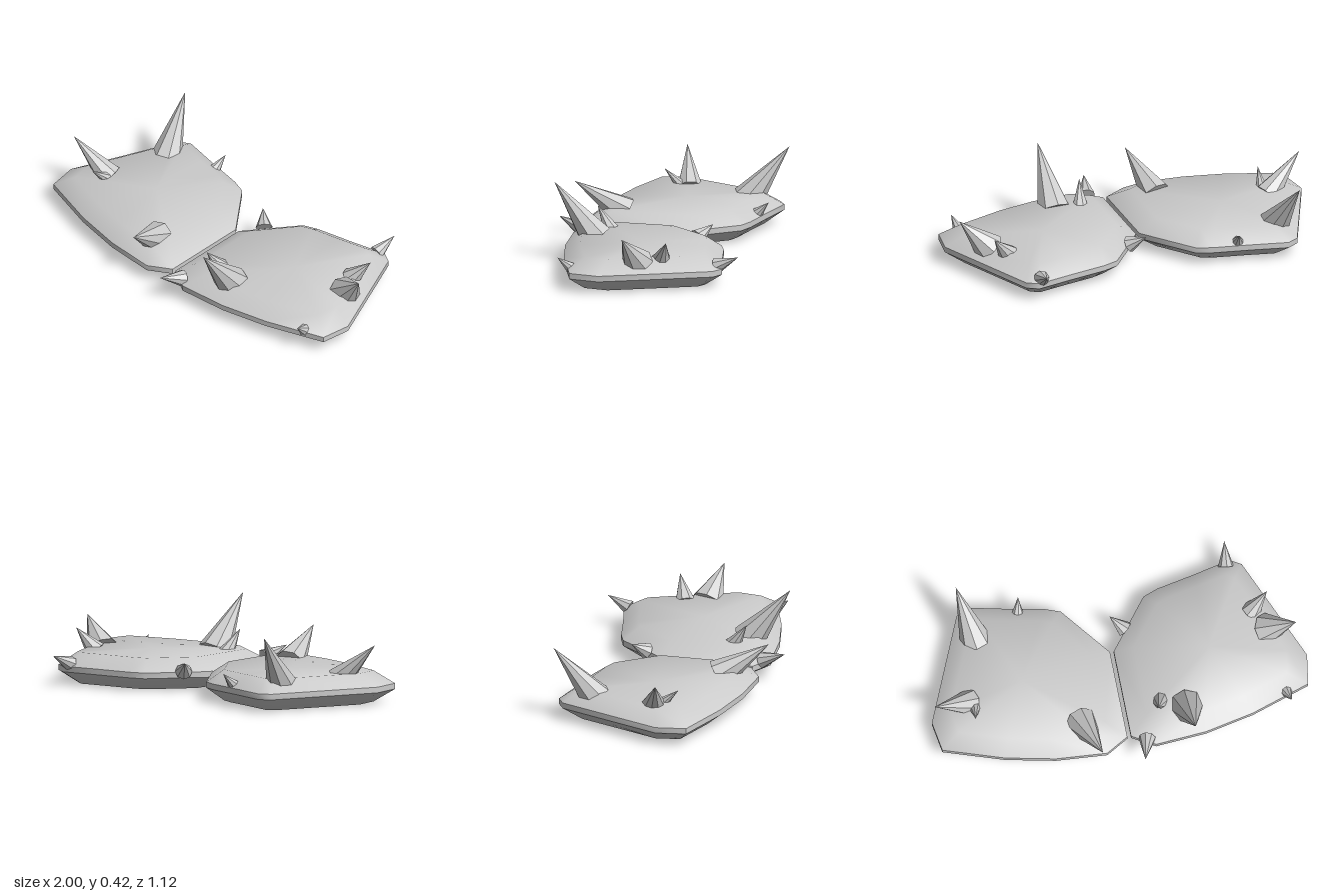
import * as THREE from 'three';
import { toCreasedNormals } from 'three/addons/utils/BufferGeometryUtils.js';

// Plan outline of one slab (x, z), running from the inner back corner round to the inner front corner
const OUTLINE = [
  [0.01, -0.09], [0.22, -0.36], [0.3, -0.39], [0.5, -0.43], [0.7, -0.475], [0.76, -0.44],
  [1.0, 0.12], [0.975, 0.28], [0.66, 0.385], [0.4, 0.44], [0.13, 0.46], [0.01, 0.39],
];

// Slab cross-sections: height and scale about the slab's middle
const RINGS = [[0, 0.79], [0.07, 1], [0.1, 1], [0.165, 0.79]];

// Spikes: tip, base centre, base radius
const LEFT_SPIKES = [
  [[0.33, 0.42, 0.515], [0.325, 0.13, 0.29], 0.09],
  [[0.17, 0.265, 0.32], [0.195, 0.14, 0.24], 0.045],
  [[0.055, 0.165, 0.555], [0.09, 0.11, 0.42], 0.045],
  [[0.87, 0.155, 0.37], [0.855, 0.1, 0.3], 0.032],
  [[0.02, 0.16, -0.265], [0.09, 0.105, -0.2], 0.045],
  [[0.69, 0.165, -0.56], [0.675, 0.11, -0.44], 0.042],
  [[0.85, 0.26, -0.21], [0.755, 0.14, -0.16], 0.055],
  [[0.965, 0.295, 0.0], [0.815, 0.135, -0.05], 0.085],
];
const RIGHT_SPIKES = [
  [[-0.755, 0.4, -0.49], [-0.69, 0.12, -0.28], 0.085],
  [[-0.43, 0.175, -0.455], [-0.445, 0.11, -0.39], 0.032],
  [[-0.985, 0.32, 0.115], [-0.785, 0.13, 0.055], 0.07],
  [[-0.78, 0.235, 0.19], [-0.765, 0.14, 0.085], 0.035],
  [[-0.165, 0.3, 0.525], [-0.235, 0.13, 0.27], 0.085],
];

// Bevelled slab lofted through the rings; side = 1 or -1 mirrors it in x
function slabGeometry(side) {
  const cx = 0.5, n = OUTLINE.length, pos = [], index = [];
  for (const [y, s] of RINGS)
    for (const [x, z] of OUTLINE) pos.push(side * (cx + (x - cx) * s), y, z * s);
  const tri = (a, b, c) => (side > 0 ? index.push(a, b, c) : index.push(a, c, b));
  const bottom = RINGS.length * n, top = bottom + 1, last = (RINGS.length - 1) * n;
  pos.push(side * cx, 0, 0, side * cx, 0.165, 0);
  for (let i = 0; i < n; i++) {
    const j = (i + 1) % n;
    for (let r = 0; r < RINGS.length - 1; r++) {
      const a = r * n + i, b = r * n + j;
      tri(a, a + n, b);
      tri(b, a + n, b + n);
    }
    tri(bottom, i, j);
    tri(top, last + j, last + i);
  }
  const geo = new THREE.BufferGeometry();
  geo.setAttribute('position', new THREE.Float32BufferAttribute(pos, 3));
  geo.setIndex(index);
  return toCreasedNormals(geo, 0.75);
}

// Faceted cone leaning from its base to its tip
function spike([tip, base, radius], material) {
  const t = new THREE.Vector3(...tip), b = new THREE.Vector3(...base);
  const dir = t.clone().sub(b), length = dir.length();
  const geo = new THREE.ConeGeometry(radius, length, 8);
  geo.translate(0, length / 2, 0);
  const mesh = new THREE.Mesh(geo, material);
  mesh.name = 'spike';
  mesh.position.copy(b);
  mesh.quaternion.setFromUnitVectors(new THREE.Vector3(0, 1, 0), dir.normalize());
  return mesh;
}

export function createModel() {
  const group = new THREE.Group();
  group.name = 'spikedSlabs';
  const smooth = new THREE.MeshStandardMaterial({ color: 0xcccccc });
  const flat = new THREE.MeshStandardMaterial({ color: 0xcccccc, flatShading: true });

  for (const [name, side, spikes] of [['left', 1, LEFT_SPIKES], ['right', -1, RIGHT_SPIKES]]) {
    const half = new THREE.Group();
    half.name = name + 'Half';
    const slab = new THREE.Mesh(slabGeometry(side), smooth);
    slab.name = name + 'Slab';
    half.add(slab, ...spikes.map((s) => spike(s, flat)));
    group.add(half);
  }
  return group;
}
